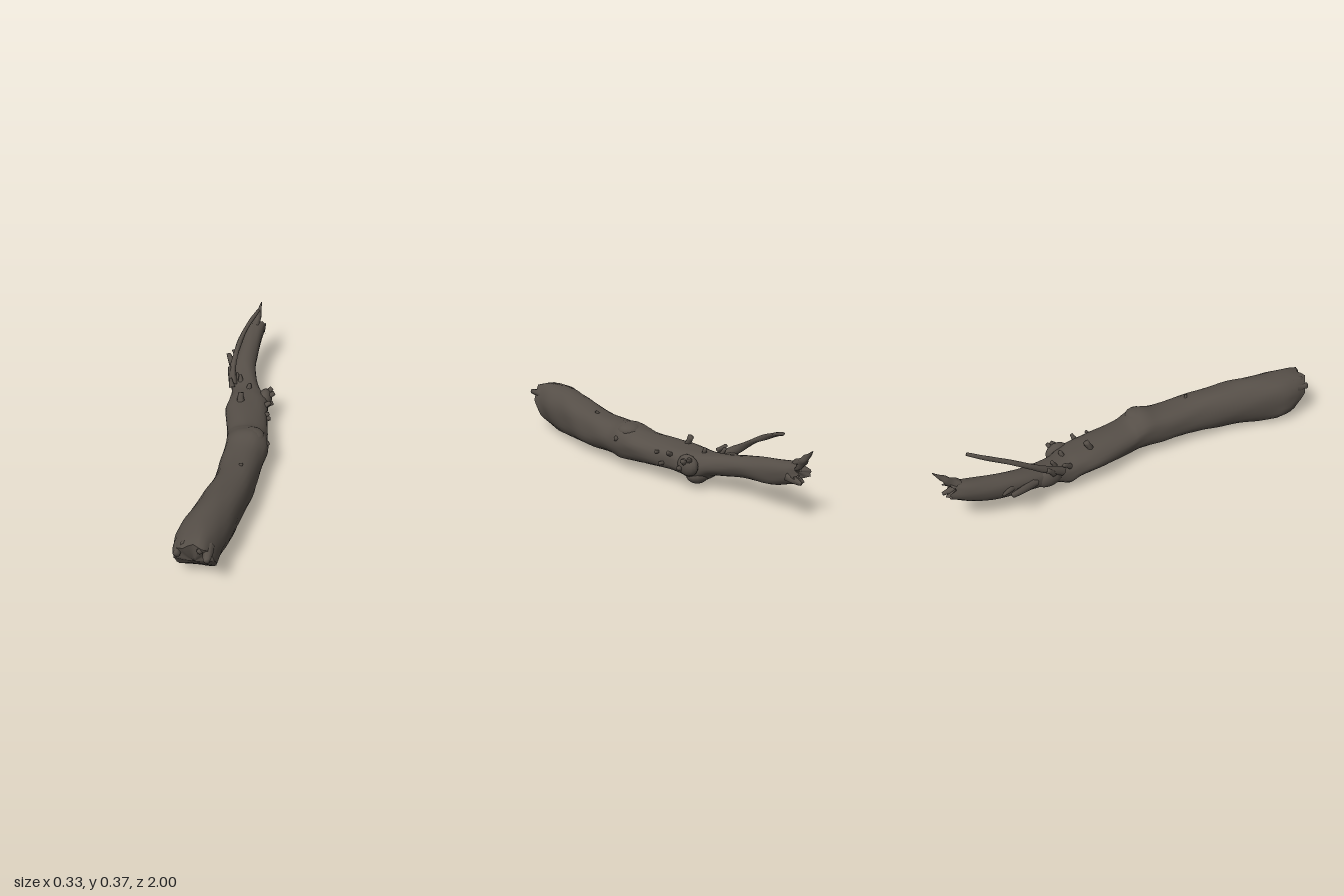
import * as THREE from 'three';

const SIDES = 28;

// Lofts closed rings of points into one smooth skin
function loft(rings) {
  const n = rings[0].length, pos = [], idx = [];
  rings.forEach(r => r.forEach(p => pos.push(p.x, p.y, p.z)));
  for (let i = 0; i < rings.length - 1; i++) {
    for (let j = 0; j < n; j++) {
      const k = (j + 1) % n, a = i * n + j, b = i * n + k, c = a + n, d = b + n;
      idx.push(a, c, b, b, c, d);
    }
  }
  const g = new THREE.BufferGeometry();
  g.setAttribute('position', new THREE.Float32BufferAttribute(pos, 3));
  g.setIndex(idx);
  g.computeVertexNormals();
  return g;
}

// Log outline along its length: z, min x, max x, min y, max y
const STATIONS = [
  [0.965, -0.125, 0.055, 0.015, 0.225],
  [0.90, -0.135, 0.062, 0.008, 0.238],
  [0.80, -0.13, 0.078, 0.006, 0.245],
  [0.60, -0.088, 0.11, 0.016, 0.238],
  [0.40, -0.052, 0.138, 0.024, 0.215],
  [0.20, -0.046, 0.15, 0.038, 0.205],
  [0.10, -0.043, 0.162, 0.038, 0.22],
  [0.04, -0.045, 0.152, 0.042, 0.205],
  [-0.02, -0.055, 0.142, 0.045, 0.188],
  [-0.20, -0.092, 0.12, 0.055, 0.18],
  [-0.30, -0.095, 0.108, 0.048, 0.175],
  [-0.36, -0.095, 0.09, 0.032, 0.17],
  [-0.42, -0.096, 0.05, 0.07, 0.172],
  [-0.50, -0.102, 0.022, 0.084, 0.183],
  [-0.60, -0.11, 0.0, 0.098, 0.2],
  [-0.75, -0.107, -0.002, 0.11, 0.225],
  [-0.85, -0.096, 0.0, 0.138, 0.243],
  [-0.93, -0.08, 0.008, 0.168, 0.255],
];
const centres = new THREE.CatmullRomCurve3(STATIONS.map(([z, l, r, b, t]) =>
  new THREE.Vector3((l + r) / 2, (b + t) / 2, z)), false, 'catmullrom', 0.5);
const radii = new THREE.CatmullRomCurve3(STATIONS.map(([z, l, r, b, t]) =>
  new THREE.Vector3((r - l) / 2, (t - b) / 2, 0)), false, 'catmullrom', 0.5);

// One ring of the log, with uneven bark and slanted, jagged ends
function logRing(t) {
  const c = centres.getPoint(t), r = radii.getPoint(t), ring = [];
  const front = THREE.MathUtils.smoothstep(c.z, 0.72, 0.965);
  const back = THREE.MathUtils.smoothstep(-c.z, 0.86, 0.93);
  for (let j = 0; j < SIDES; j++) {
    const a = j / SIDES * Math.PI * 2, cos = Math.cos(a), sin = Math.sin(a);
    const bark = 0.985 + 0.018 * Math.sin(5 * a + 9 * c.z) + 0.014 * Math.sin(3 * a - 23 * c.z)
      + 0.012 * Math.sin(9 * a + 31 * c.z);
    const square = 1 + 0.05 * Math.sin(2 * a) ** 2;
    const low = (1 - sin) / 2;
    const z = c.z - front * (0.13 * low ** 1.8 - 0.012 * Math.sin(7 * a) * (1 - low))
      - back * (0.015 * Math.sin(4 * a + 1) + 0.01 * Math.sin(9 * a));
    ring.push(new THREE.Vector3(c.x + r.x * cos * bark * square, c.y + r.y * sin * bark * square, z));
  }
  return ring;
}

// Rings shrinking from a rim to its middle, pushed along z by bulge
function capRings(rim, bulge) {
  const mid = new THREE.Vector3();
  rim.forEach(p => mid.addScaledVector(p, 1 / rim.length));
  return [1, 0.85, 0.6, 0.3, 0.001].map(s => rim.map(p => {
    const q = mid.clone().lerp(p, s);
    q.z += bulge * (1 - s * s);
    return q;
  }));
}

// Tapered, curved branch with a closed tip; sizes are radii along it
function branch(points, sizes, sides = 7) {
  const curve = new THREE.CatmullRomCurve3(points.map(p => new THREE.Vector3(...p)));
  const steps = points.length > 2 ? 14 : 4;
  const { normals, binormals } = curve.computeFrenetFrames(steps);
  const rings = [];
  for (let i = 0; i <= steps + 1; i++) {
    const k = Math.min(i, steps), t = k / steps, f = t * (sizes.length - 1);
    const m = Math.min(Math.floor(f), sizes.length - 2);
    const r = i > steps ? 0.0002 : THREE.MathUtils.lerp(sizes[m], sizes[m + 1], f - m);
    const c = curve.getPointAt(t);
    rings.push(Array.from({ length: sides }, (_, j) => {
      const a = -j / sides * Math.PI * 2, w = r * (1 + 0.15 * Math.sin(j * 2.4 + i));
      return c.clone().addScaledVector(normals[k], w * Math.cos(a)).addScaledVector(binormals[k], w * Math.sin(a));
    }));
  }
  return loft(rings);
}

export function createModel() {
  const group = new THREE.Group();
  const bark = new THREE.MeshStandardMaterial({ color: 0x564f48 });
  bark.name = 'darkBark';
  const add = (name, geometry) => {
    const mesh = new THREE.Mesh(geometry, bark);
    mesh.name = name;
    group.add(mesh);
    return mesh;
  };

  // Log body and its two broken ends
  const rings = Array.from({ length: 91 }, (_, i) => logRing(i / 90));
  add('log', loft(rings));
  add('frontBrokenEnd', loft(capRings(rings[0], 0.02).reverse()));
  add('backBrokenEnd', loft(capRings(rings[90], 0.03)));

  // Long curved twig
  add('longTwig', branch([[-0.085, 0.15, -0.4], [-0.102, 0.2, -0.49], [-0.098, 0.245, -0.56],
    [-0.082, 0.29, -0.65], [-0.055, 0.33, -0.74], [-0.018, 0.363, -0.83]],
  [0.022, 0.018, 0.013, 0.012, 0.011, 0.008]));

  // Splinters standing on the back end
  add('backSplinter', branch([[-0.042, 0.232, -0.89], [-0.036, 0.268, -0.935], [-0.025, 0.325, -0.995]],
    [0.026, 0.017, 0.002]));
  add('backLowSplinter', branch([[-0.01, 0.19, -0.88], [-0.005, 0.178, -0.955]], [0.025, 0.008]));

  // Bark chips along the front rim
  [
    [[0.02, 0.185, 0.91], [0.03, 0.18, 0.998], 0.028, 0.014],
    [[-0.01, 0.2, 0.9], [-0.005, 0.205, 0.975], 0.024, 0.012],
    [[-0.1, 0.18, 0.9], [-0.105, 0.175, 0.968], 0.025, 0.015],
    [[-0.075, 0.205, 0.89], [-0.08, 0.21, 0.95], 0.022, 0.013],
  ].forEach(([a, b, r, s]) => add('barkChip', branch([a, b], [r, s])));

  // Stubs of snapped side shoots: base, tip, base radius, tip radius
  [
    [[-0.095, 0.145, -0.54], [-0.155, 0.165, -0.68], 0.02, 0.012],
    [[-0.09, 0.16, -0.64], [-0.138, 0.17, -0.72], 0.016, 0.006],
    [[-0.1, 0.165, -0.45], [-0.118, 0.205, -0.49], 0.017, 0.011],
    [[-0.085, 0.16, -0.36], [-0.1, 0.19, -0.4], 0.014, 0.009],
    [[-0.02, 0.165, -0.22], [-0.022, 0.212, -0.245], 0.017, 0.014],
    [[0.0, 0.16, -0.36], [0.005, 0.19, -0.37], 0.014, 0.008],
    [[-0.05, 0.16, -0.42], [-0.055, 0.195, -0.44], 0.013, 0.008],
    [[0.08, 0.13, -0.33], [0.13, 0.15, -0.36], 0.024, 0.012],
    [[0.07, 0.12, -0.35], [0.115, 0.165, -0.385], 0.02, 0.01],
    [[0.08, 0.1, -0.31], [0.128, 0.11, -0.33], 0.018, 0.012],
    [[0.09, 0.14, -0.24], [0.125, 0.165, -0.25], 0.014, 0.009],
    [[0.1, 0.14, -0.16], [0.13, 0.15, -0.17], 0.013, 0.008],
    [[0.1, 0.1, -0.2], [0.132, 0.1, -0.2], 0.012, 0.009],
    [[0.13, 0.14, 0.1], [0.162, 0.16, 0.09], 0.022, 0.01],
    [[0.06, 0.19, 0.35], [0.075, 0.217, 0.36], 0.012, 0.006],
  ].forEach(([a, b, r, s]) => add('snappedStub', branch([a, b], [r, s], 6)));

  // Swollen knots in the bark
  [
    [[0.085, 0.12, -0.345], [0.035, 0.05, 0.06]],
    [[0.03, 0.065, -0.35], [0.055, 0.04, 0.05]],
    [[0.08, 0.185, 0.085], [0.06, 0.034, 0.06]],
    [[-0.08, 0.13, -0.47], [0.03, 0.045, 0.07]],
  ].forEach(([p, s]) => {
    const knot = add('knot', new THREE.SphereGeometry(1, 14, 10));
    knot.position.set(...p);
    knot.scale.set(...s);
  });

  return group;
}
